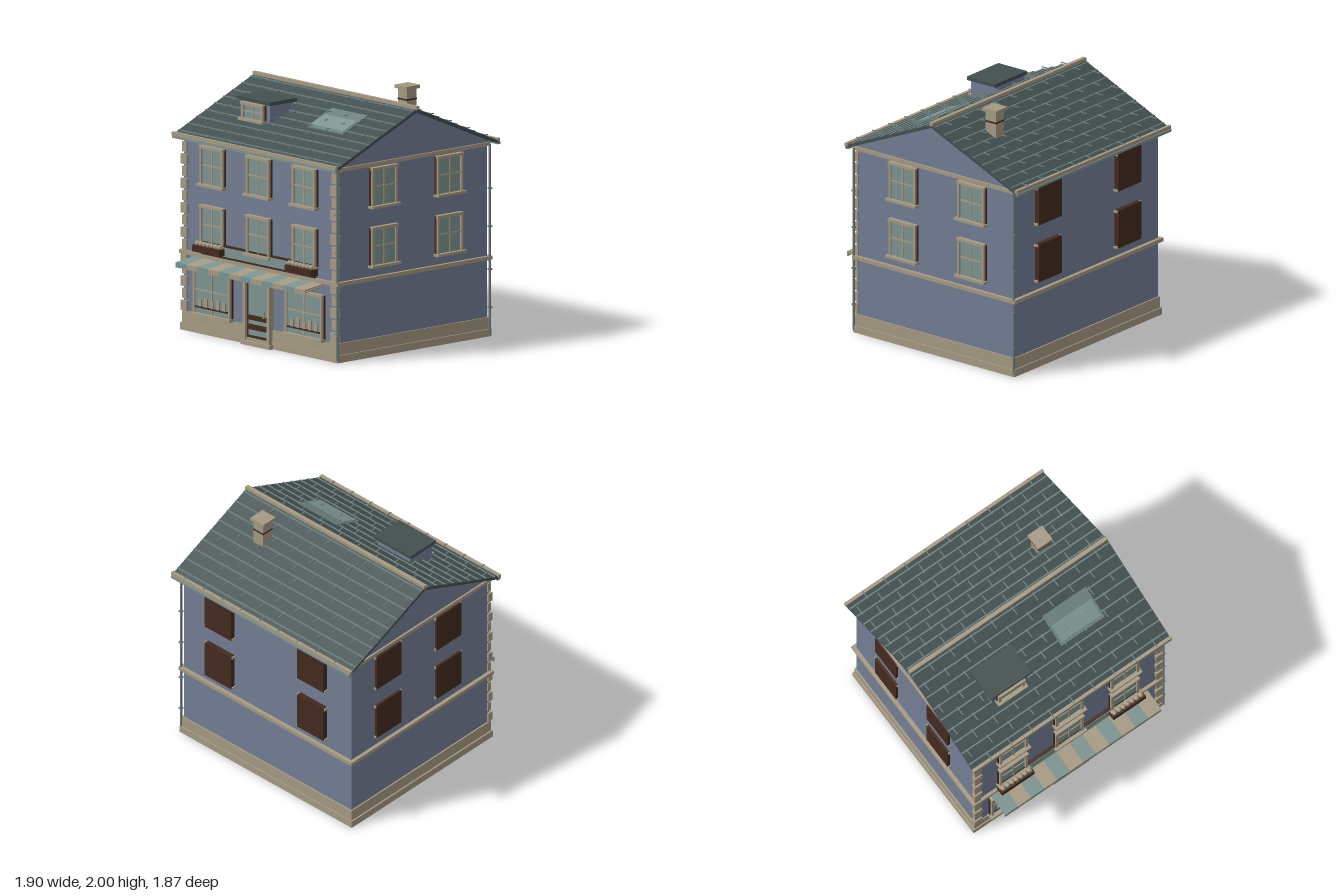
import * as THREE from 'three';

const mat = (name, color) => {
  const m = new THREE.MeshStandardMaterial({ color });
  m.name = name;
  return m;
};

export function createModel() {
  const house = new THREE.Group();
  house.name = 'townhouse';
  const wall = mat('blue render', 0x747e94);
  const stone = mat('beige stone', 0xa59a83);
  const slate = mat('dark slate', 0x434f50);
  const teal = mat('pale teal', 0x7d9491);
  const wood = mat('dark brown wood', 0x442a1f);
  const lead = mat('grey green lead', 0x6c817e);

  // Box given by its extents
  const box = (name, m, x0, x1, y0, y1, z0, z1, parent = house) => {
    const mesh = new THREE.Mesh(new THREE.BoxGeometry(x1 - x0, y1 - y0, z1 - z0), m);
    mesh.position.set((x0 + x1) / 2, (y0 + y1) / 2, (z0 + z1) / 2);
    mesh.name = name;
    parent.add(mesh);
    return mesh;
  };
  // Prism along x from a [z, y] profile
  const prism = (name, m, pts, x0, x1, parent = house) => {
    const shape = new THREE.Shape(pts.map(([z, y]) => new THREE.Vector2(-z, y)));
    const geo = new THREE.ExtrudeGeometry(shape, { depth: x1 - x0, bevelEnabled: false });
    geo.rotateY(Math.PI / 2);
    const mesh = new THREE.Mesh(geo, m);
    mesh.position.x = x0;
    mesh.name = name;
    parent.add(mesh);
    return mesh;
  };
  const groupAt = (name, x, y, z, ry = 0) => {
    const g = new THREE.Group();
    g.name = name;
    g.position.set(x, y, z);
    g.rotation.y = ry;
    house.add(g);
    return g;
  };

  // Walls, plinth and bands
  const zc = -0.07;
  const roofY = z => 1.91 - 0.43 * Math.abs(z - zc);
  box('walls', wall, -0.885, 0.885, 0.02, 1.53, -0.85, 0.72);
  box('plinthBase', stone, -0.91, 0.91, 0, 0.058, -0.872, 0.737);
  box('plinth', stone, -0.897, 0.897, 0.058, 0.15, -0.862, 0.728);
  box('storeyBand', stone, -0.915, 0.915, 0.605, 0.635, -0.882, 0.745);
  box('cornice', stone, -0.9, 0.9, 1.505, 1.535, -0.875, 0.745);
  prism('gable', wall, [[0.75, 1.535], [zc, 1.888], [-0.89, 1.535]], -0.885, 0.885);

  // Roof
  prism('roof', slate, [[0.78, 1.545], [zc, 1.91], [-0.92, 1.545], [-0.92, 1.522],
    [zc, 1.885], [0.78, 1.522]], -0.943, 0.943);
  box('ridgeCap', stone, -0.947, 0.947, 1.9, 1.93, zc - 0.016, zc + 0.016);
  const tiles = groupAt('slateCourses', 0, 0, 0);
  for (const s of [1, -1]) {
    for (let i = 0; i < 9; i++) {
      const z = zc + s * (0.036 + 0.0945 * i), y = roofY(z);
      box('courseLine', lead, -0.943, 0.943, y - 0.008, y + 0.006, z - 0.006, z + 0.006, tiles);
      for (let k = 0; k < 9; k++) {
        const x = -0.895 + 0.198 * k + (i % 2 ? 0 : 0.12);
        const a = z - s * 0.015, b = z + s * 0.065;
        box('slateJoint', lead, x - 0.004, x + 0.004, y, y + 0.006, Math.min(a, b), Math.max(a, b), tiles);
      }
    }
    const e = zc + s * 0.848;
    box('fascia', stone, -0.948, 0.948, 1.537, 1.565, e - 0.013, e + 0.013);
    box('gutter', teal, -0.943, 0.943, 1.517, 1.537, e - 0.02, e + 0.012);
  }

  // Downpipes on the left wall corners
  for (const z of [0.735, -0.862]) {
    const pipe = new THREE.Mesh(new THREE.CylinderGeometry(0.01, 0.01, 1.5, 10), lead);
    pipe.position.set(0.905, 0.77, z);
    pipe.name = 'downpipe';
    house.add(pipe);
    for (const y of [0.23, 0.53, 0.87, 1.17])
      box('pipeClip', lead, 0.89, 0.918, y - 0.006, y + 0.006, z - 0.014, z + 0.014);
  }

  // Corner stones on the front
  for (let i = 0; i < 14; i++) {
    const y = 0.157 + i * 0.0965, w = i % 2 ? 0.054 : 0.07;
    for (const s of [-1, 1]) {
      const out = s * (i % 2 ? 0.893 : 0.9), inn = out - s * w;
      box('quoin', stone, Math.min(out, inn), Math.max(out, inn), y, y + 0.078, 0.7, i % 2 ? 0.734 : 0.742);
    }
  }

  // Framed window; local origin at the bottom centre on the wall
  const window = (name, w, h, x, y, z, ry = 0, rowY = 0.52) => {
    const g = groupAt(name, x, y, z, ry), a = w / 2;
    box('surround', wood, -a, a, 0.005, h - 0.005, -0.01, 0.015, g);
    box('glass', teal, -a + 0.025, a - 0.025, 0.02, h - 0.02, 0.01, 0.02, g);
    for (const s of [-1, 1])
      box('jamb', stone, s * (a - 0.018) - 0.011, s * (a - 0.018) + 0.011, 0.01, h - 0.01, 0, 0.034, g);
    box('lintel', stone, -a + 0.003, a - 0.003, h - 0.022, h, 0, 0.04, g);
    box('sill', stone, -a - 0.01, a + 0.01, 0, 0.02, 0, 0.055, g);
    box('mullion', stone, -0.006, 0.006, 0.02, h - 0.02, 0.015, 0.027, g);
    box('transom', stone, -a + 0.025, a - 0.025, h * rowY - 0.006, h * rowY + 0.006, 0.015, 0.027, g);
    return g;
  };
  // Closed shutter panel with small stone corner stops
  const shutter = (x, y, z, ry, out) => {
    const g = groupAt('shutter', x, y, z, ry);
    box('panel', wood, -0.14, 0.14, 0.005, 0.315, -0.01, out, g);
    for (const s of [-1, 1])
      for (const v of [0.01, 0.305])
        box('stop', stone, s * 0.142 - 0.009, s * 0.142 + 0.009, v - 0.009, v + 0.009, 0, out - 0.004, g);
  };
  for (const y of [0.705, 1.175]) {
    for (const x of [-0.535, 0, 0.53]) window('frontWindow', 0.28, 0.322, x, y, 0.72);
    for (const z of [0.245, -0.44]) {
      window('sideWindow', 0.28, 0.322, 0.885, y, z, Math.PI / 2);
      shutter(-0.885, y, z, -Math.PI / 2, 0.02);
    }
    for (const x of [-0.49, 0.49]) shutter(x, y, -0.85, Math.PI, 0.042);
  }

  // Shop windows with displayed goods
  for (const x of [-0.533, 0.53]) {
    const g = window('shopWindow', 0.445, 0.37, x, 0.145, 0.72, 0, 0.55);
    box('shelf', wood, -0.19, 0.19, 0.062, 0.073, 0.015, 0.034, g);
    [0.06, 0.075, 0.055, 0.075, 0.06].forEach((h, i) => {
      const px = (i - 2) * 0.069;
      box('goods', stone, px - 0.017, px + 0.017, 0.073, 0.073 + h, 0.012, 0.03, g);
    });
  }

  // Door with surround and step
  box('doorStep', stone, -0.17, 0.165, 0, 0.035, 0.7, 0.775);
  for (const x of [-0.142, 0.137]) box('doorPost', stone, x - 0.014, x + 0.014, 0.035, 0.52, 0.7, 0.768);
  box('doorHead', stone, -0.16, 0.155, 0.512, 0.535, 0.7, 0.772);
  box('door', wood, -0.128, 0.123, 0.035, 0.512, 0.7, 0.745);
  box('doorSill', stone, -0.128, 0.123, 0.035, 0.058, 0.7, 0.755);
  box('doorGlass', teal, -0.105, 0.1, 0.24, 0.495, 0.742, 0.749);
  box('doorPanel', teal, -0.105, 0.1, 0.168, 0.198, 0.742, 0.749);
  box('doorPanel', teal, -0.105, 0.1, 0.08, 0.122, 0.742, 0.749);
  box('doorHandle', stone, 0.073, 0.083, 0.23, 0.285, 0.745, 0.762);

  // Sign board without lettering
  box('signFrame', wood, -0.66, 0.65, 0.635, 0.74, 0.7, 0.745);
  box('signPanel', teal, -0.63, 0.62, 0.652, 0.726, 0.74, 0.75);

  // Flower boxes
  for (const x of [-0.535, 0.53]) {
    box('flowerBox', wood, x - 0.155, x + 0.155, 0.66, 0.712, 0.74, 0.81);
    for (let i = 0; i < 7; i++) {
      const bloom = new THREE.Mesh(new THREE.SphereGeometry(0.022, 10, 8), stone);
      bloom.position.set(x + (i - 3) * 0.042, 0.725, 0.78);
      bloom.name = 'bloom';
      house.add(bloom);
    }
  }

  // Striped awning
  for (let i = 0; i < 12; i++) {
    const x = -0.748 + i * 0.1245, m = i % 2 ? stone : teal;
    prism('awningStripe', m, [[0.72, 0.608], [0.93, 0.58], [0.93, 0.54], [0.922, 0.54],
      [0.922, 0.57], [0.72, 0.598]], x, x + 0.1245);
  }
  for (const x of [-0.74, 0.73])
    prism('awningArm', stone, [[0.72, 0.59], [0.925, 0.562], [0.925, 0.554], [0.72, 0.582]], x, x + 0.01);

  // Dormer
  box('dormerWalls', wall, -0.53, -0.19, 1.69, 1.845, 0.2, 0.45);
  box('dormerRoof', slate, -0.552, -0.163, 1.84, 1.868, 0.188, 0.472);
  window('dormerWindow', 0.262, 0.145, -0.36, 1.688, 0.45);

  // Skylight lying on the front slope
  const slopeBand = (name, m, x0, x1, z0, z1, lift) => prism(name, m, [
    [z0, roofY(z0) - 0.01], [z0, roofY(z0) + lift], [z1, roofY(z1) + lift], [z1, roofY(z1) - 0.01]], x0, x1);
  slopeBand('skylightFrame', lead, 0.18, 0.595, 0.135, 0.39, 0.012);
  slopeBand('skylightGlass', teal, 0.2, 0.575, 0.23, 0.37, 0.018);

  // Chimney
  box('chimney', stone, 0.46, 0.562, 1.7, 1.98, -0.405, -0.303);
  box('chimneyBand', wood, 0.457, 0.565, 1.885, 1.898, -0.408, -0.3);
  box('chimneyCap', stone, 0.441, 0.581, 1.974, 2, -0.424, -0.284);
  return house;
}
